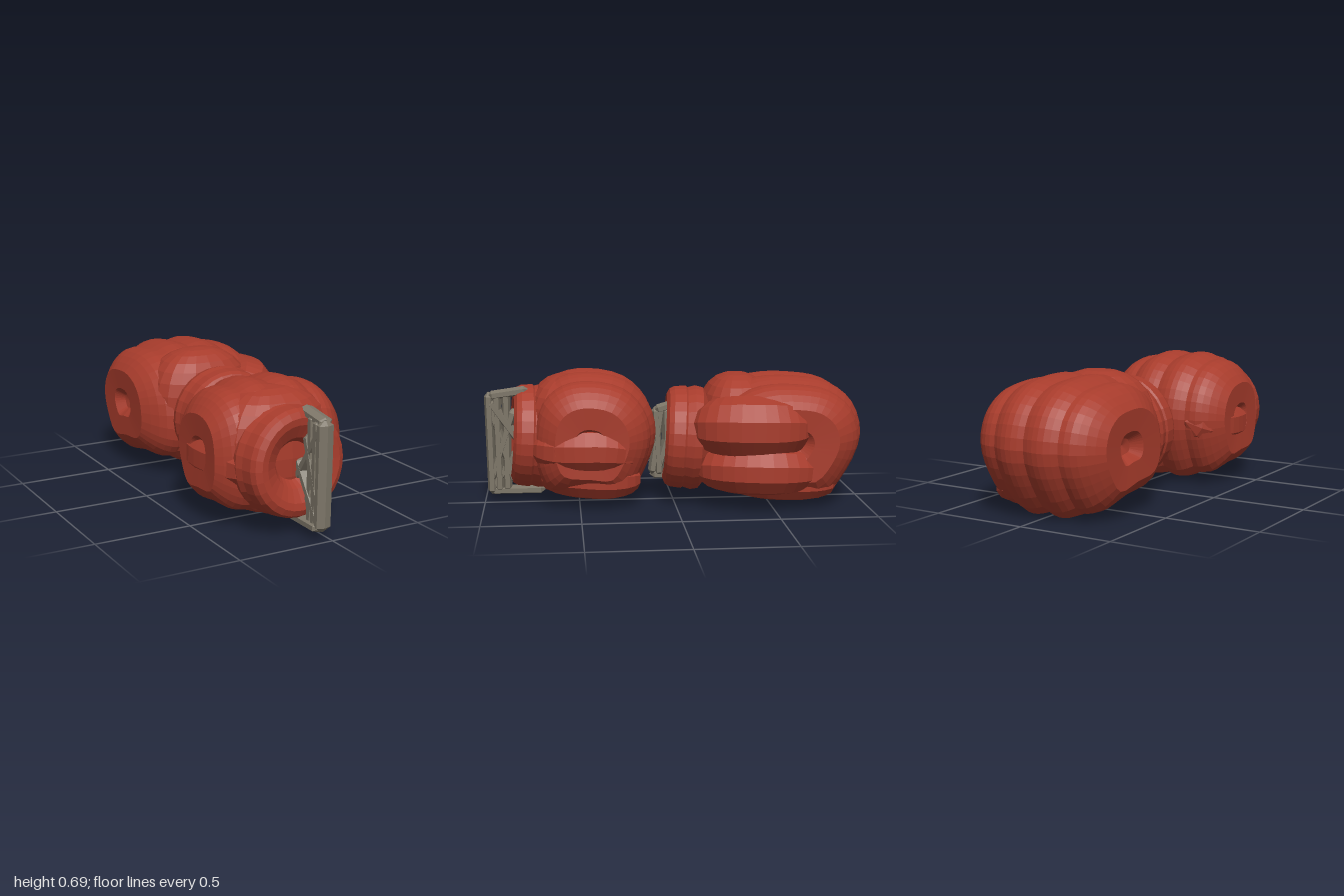
import * as THREE from 'three';

const leather = new THREE.MeshStandardMaterial({ color: 0xa83c2c, flatShading: true, side: THREE.DoubleSide });
const cord = new THREE.MeshStandardMaterial({ color: 0x7d7668, flatShading: true, side: THREE.DoubleSide });

function add(group, name, geometry, material = leather) {
  const mesh = new THREE.Mesh(geometry, material);
  mesh.name = name;
  group.add(mesh);
  return mesh;
}

// Grid of rings joined into a closed-round surface.
function loft(rings) {
  const n = rings[0].length, index = [];
  for (let i = 0; i < rings.length - 1; i++) {
    for (let j = 0; j < n; j++) {
      const k = (j + 1) % n;
      const a = i * n + j, b = i * n + k, c = a + n, d = b + n;
      index.push(a, c, b, b, c, d);
    }
  }
  const geometry = new THREE.BufferGeometry();
  geometry.setAttribute('position', new THREE.Float32BufferAttribute(rings.flat(2), 3));
  geometry.setIndex(index);
  geometry.computeVertexNormals();
  return geometry;
}

// Fist: a side outline swept across x, swelling into four finger ribs,
// with shallow dished ends where the padding rolls inwards.
function fistGeometry(outline, x0, x1, yc, zc) {
  const curve = new THREE.CatmullRomCurve3(outline.map(([z, y]) => new THREE.Vector3(0, y, z)), true);
  const points = curve.getPoints(36).slice(0, 36);
  const mid = (x0 + x1) / 2, half = (x1 - x0) / 2;
  const ring = (x, s) => points.map(p => [x, yc + (p.y - yc) * s, zc + (p.z - zc) * s]);
  const rings = [ring(x0 + 0.06, 0.02), ring(x0 + 0.05, 0.12), ring(x0 + 0.005, 0.24)];
  const rows = 24;
  for (let i = 0; i <= rows; i++) {
    const t = -1 + 2 * i / rows;
    const rib = 0.055 * (1 - Math.abs(Math.sin(2 * Math.PI * t)));
    const fall = 0.38 * Math.pow(Math.abs(t), 3);
    rings.push(ring(mid + half * t, 1 - fall - rib));
  }
  rings.push(ring(x1 - 0.005, 0.24), ring(x1 - 0.05, 0.12), ring(x1 - 0.06, 0.02));
  return loft(rings);
}

// Pad: a sphere swollen towards a box, one unit in radius.
function padGeometry() {
  const geometry = new THREE.SphereGeometry(1, 20, 14);
  const pos = geometry.attributes.position;
  const swell = v => Math.sign(v) * Math.pow(Math.abs(v), 0.82);
  for (let i = 0; i < pos.count; i++) pos.setXYZ(i, swell(pos.getX(i)), swell(pos.getY(i)), swell(pos.getZ(i)));
  geometry.computeVertexNormals();
  return geometry;
}

// Rounded, tapering roll along a path.
function rollGeometry(path, radius) {
  const curve = new THREE.CatmullRomCurve3(path.map(p => new THREE.Vector3(...p)));
  const steps = 14, sides = 10;
  const geometry = new THREE.TubeGeometry(curve, steps, radius, sides, false);
  const pos = geometry.attributes.position, v = new THREE.Vector3();
  for (let i = 0; i <= steps; i++) {
    const t = i / steps, centre = curve.getPointAt(t);
    const s = Math.sqrt(Math.max(0, 1 - Math.pow(Math.abs(2 * t - 1), 3)));
    for (let j = 0; j <= sides; j++) {
      const k = i * (sides + 1) + j;
      v.fromBufferAttribute(pos, k).sub(centre).multiplyScalar(s).add(centre);
      pos.setXYZ(k, v.x, v.y, v.z);
    }
  }
  geometry.computeVertexNormals();
  return geometry;
}

// Cuff: padded ring with a funnel-shaped opening facing +z.
function cuffGeometry() {
  const profile = [[0.001, -0.15], [0.06, -0.14], [0.09, -0.09], [0.125, -0.04], [0.19, -0.005], [0.225, 0],
    [0.255, -0.015], [0.268, -0.04], [0.274, -0.1], [0.266, -0.11], [0.278, -0.15], [0.27, -0.19], [0.2, -0.24]];
  return new THREE.LatheGeometry(profile.map(p => new THREE.Vector2(...p)), 28).rotateX(Math.PI / 2);
}

function glove(name, o) {
  const group = new THREE.Group();
  group.name = name;
  add(group, 'fist', fistGeometry(o.outline, o.x[0], o.x[1], o.centre[0], o.centre[1]));
  const pad = add(group, 'wristPad', padGeometry());
  pad.scale.set(...o.pad.size);
  pad.position.set(...o.pad.at);
  const cuff = add(group, 'cuff', cuffGeometry());
  cuff.position.set(...o.cuff);
  cuff.rotation.set(-0.06, o.yaw, 0);
  o.rolls.forEach(([label, radius, path]) => add(group, label, rollGeometry(path, radius)));
  return group;
}

// Lacing: flat cords between points in the y-z plane.
function lacing(name, x, width, segments) {
  const group = new THREE.Group();
  group.name = name;
  segments.forEach(([y0, z0, y1, z1], i) => {
    const a = new THREE.Vector3(x + (y0 - 0.3) * 0.04, y0, z0);
    const b = new THREE.Vector3(x + (y1 - 0.3) * 0.04, y1, z1);
    const r = 0.024, length = a.distanceTo(b), profile = [[0.004, -length / 2], [r, -length / 2 + r],
      [r, length / 2 - r], [0.004, length / 2]];
    const geometry = new THREE.LatheGeometry(profile.map(p => new THREE.Vector2(...p)), 6);
    const mesh = add(group, 'cord', geometry, cord);
    mesh.scale.x = (width - 0.008 * (i % 3)) / (2 * r);
    mesh.position.copy(a).add(b).multiplyScalar(0.5);
    mesh.rotation.x = Math.atan2(b.z - a.z, b.y - a.y);
  });
  return group;
}

export function createModel() {
  const model = new THREE.Group();
  model.name = 'lacedGloves';

  model.add(glove('frontGlove', {
    outline: [[0.09, 0.37], [0.13, 0.53], [0.25, 0.65], [0.45, 0.695], [0.6, 0.67], [0.71, 0.58],
      [0.76, 0.4], [0.75, 0.2], [0.68, 0.07], [0.45, 0.04], [0.25, 0.03], [0.14, 0.19]],
    x: [-0.43, 0.28], centre: [0.35, 0.45],
    pad: { at: [-0.09, 0.36, 0.55], size: [0.32, 0.315, 0.23] },
    cuff: [-0.085, 0.35, 0.855], yaw: 0.07,
    rolls: [
      ['thumb', 0.13, [[0.08, 0.32, 0.74], [0.17, 0.31, 0.58], [0.19, 0.31, 0.38], [0.13, 0.27, 0.18]]],
      ['palmFold', 0.11, [[0.04, 0.16, 0.7], [0.14, 0.16, 0.52], [0.16, 0.15, 0.32], [0.1, 0.15, 0.18]]],
      ['outerFold', 0.14, [[-0.25, 0.32, 0.8], [-0.28, 0.32, 0.6], [-0.3, 0.32, 0.36], [-0.26, 0.36, 0.12]]],
    ],
  }));

  model.add(glove('rearGlove', {
    outline: [[-1, 0.36], [-0.95, 0.53], [-0.82, 0.635], [-0.65, 0.67], [-0.42, 0.665], [-0.24, 0.58],
      [-0.14, 0.43], [-0.13, 0.2], [-0.22, 0.08], [-0.5, 0.04], [-0.78, 0.005], [-0.93, 0.17]],
    x: [-0.37, 0.36], centre: [0.35, -0.6],
    pad: { at: [-0.02, 0.36, -0.34], size: [0.3, 0.32, 0.21] },
    cuff: [0, 0.345, 0.045], yaw: -0.06,
    rolls: [
      ['thumb', 0.165, [[0.14, 0.42, -0.1], [0.25, 0.43, -0.27], [0.28, 0.43, -0.45], [0.22, 0.42, -0.7]]],
      ['palmFold', 0.13, [[0.13, 0.2, -0.12], [0.26, 0.21, -0.28], [0.31, 0.21, -0.48], [0.22, 0.19, -0.76]]],
      ['lowerFold', 0.1, [[0.1, 0.14, -0.25], [0.25, 0.14, -0.52], [0.22, 0.12, -0.85]]],
    ],
  }));

  model.add(lacing('frontLacing', -0.035, 0.09, [
    [0.04, 0.96, 0.59, 0.97], [0.05, 0.92, 0.59, 0.93], [0.05, 0.88, 0.6, 0.88],
    [0.06, 0.975, 0.06, 0.68], [0.57, 0.975, 0.6, 0.76], [0.06, 0.97, 0.36, 0.76],
    [0.55, 0.97, 0.25, 0.76], [0.1, 0.97, 0.5, 0.84], [0.54, 0.97, 0.1, 0.84],
  ]));
  model.add(lacing('rearLacing', -0.035, 0.09, [
    [0.12, 0.07, 0.5, 0.09], [0.13, 0.11, 0.5, 0.06], [0.13, 0.12, 0.13, -0.1],
    [0.48, 0.1, 0.54, -0.1], [0.15, 0.08, 0.42, 0], [0.14, 0.03, 0.5, 0.03],
  ]));
  return model;
}
